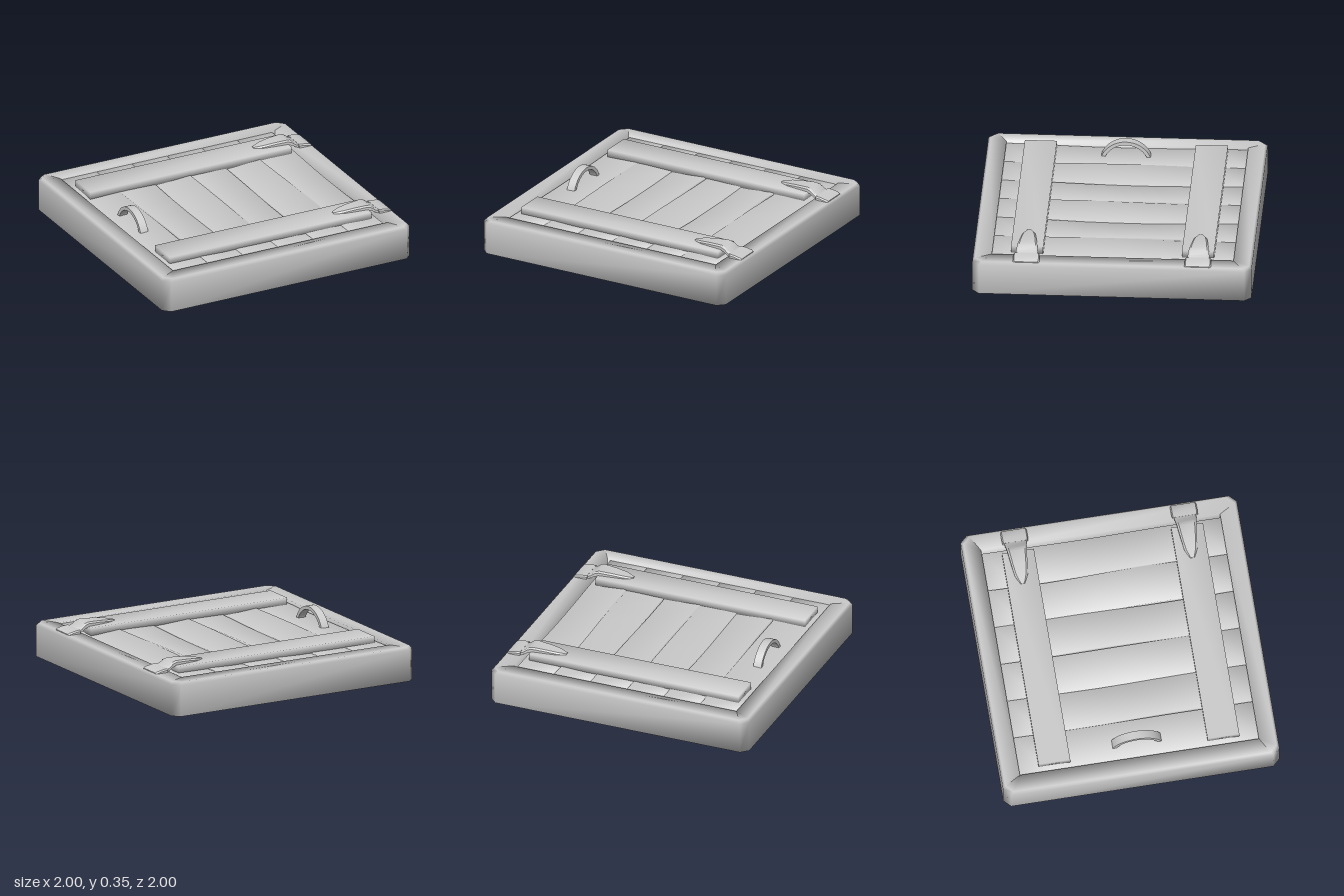
import * as THREE from 'three';
import { mergeVertices, toCreasedNormals } from 'three/addons/utils/BufferGeometryUtils.js';

const material = new THREE.MeshStandardMaterial({ color: 0xcccccc });

function addMesh(parent, name, geometry) {
  const mesh = new THREE.Mesh(geometry, material);
  mesh.name = name;
  parent.add(mesh);
  return mesh;
}

// Skin a list of equal-length rings; either cap the ends or join last to first.
function loft(rings, looped) {
  const n = rings[0].length, index = [];
  const last = looped ? rings.length : rings.length - 1;
  for (let i = 0; i < last; i++) {
    const k = (i + 1) % rings.length;
    for (let j = 0; j < n; j++) {
      const a = i * n + j, b = i * n + (j + 1) % n;
      const c = k * n + (j + 1) % n, d = k * n + j;
      index.push(a, b, c, a, c, d);
    }
  }
  if (!looped) {
    const e = (rings.length - 1) * n;
    for (let j = 1; j < n - 1; j++) index.push(0, j + 1, j, e, e + j, e + j + 1);
  }
  const g = new THREE.BufferGeometry();
  g.setAttribute('position', new THREE.Float32BufferAttribute(rings.flat(2), 3));
  g.setIndex(index);
  g.computeVertexNormals();
  return g;
}

// Box with shared corners, so it is shaded softly across its edges.
function softBox(w, h, d, sz) {
  const g = new THREE.BoxGeometry(w, h, d, 1, 1, sz);
  g.deleteAttribute('uv');
  g.deleteAttribute('normal');
  const merged = mergeVertices(g);
  merged.computeVertexNormals();
  return merged;
}

// Plank that rolls and bows between its flat ends.
function warpedPlank(roll, bow, phase) {
  const g = softBox(0.279, 0.085, 1.74, 8);
  const p = g.attributes.position;
  for (let i = 0; i < p.count; i++) {
    const x = p.getX(i), y = p.getY(i), t = p.getZ(i) / 0.87, fade = 1 - t * t;
    const a = roll * fade * Math.cos(t * 1.6 + phase);
    p.setX(i, x * Math.cos(a) - y * Math.sin(a) + bow * fade * Math.sin(t * 3 + phase));
    p.setY(i, x * Math.sin(a) + y * Math.cos(a) - 0.006 * fade);
  }
  g.computeVertexNormals();
  return g;
}

// Square ring with cut corners: half size o, height y, corner cut c.
function squareRing(o, y, c) {
  const k = o - c;
  return [[-k, o], [k, o], [o, k], [o, -k], [k, -o], [-k, -o], [-o, -k], [-o, k]]
    .map(([x, z]) => [x, y, z]);
}

// Metal bar along x with bevelled top edges: stations of [x, bottom, top, half width, bevel].
function metalBar(stations) {
  const rings = stations.map(([x, b, t, w, bevel]) => [
    [x, b, w], [x, b, -w], [x, t - 0.01, -w],
    [x, t, bevel - w], [x, t, w - bevel], [x, t - 0.01, w],
  ]);
  return toCreasedNormals(loft(rings, false), 0.6);
}

export function createModel() {
  const model = new THREE.Group();
  model.name = 'hatch';

  // Hollow square frame with a small bevel round the top
  addMesh(model, 'frame', loft([
    squareRing(1, 0, 0.05), squareRing(1, 0.23, 0.05), squareRing(0.982, 0.25, 0.05),
    squareRing(0.865, 0.25, 0), squareRing(0.865, 0, 0),
  ], true));

  // Six warped planks: [roll, sideways bow, phase]
  const planks = new THREE.Group();
  planks.name = 'planks';
  model.add(planks);
  [
    [0.05, 0.003, 0.3], [-0.11, 0.006, -0.5], [0.1, 0.002, 0.6],
    [-0.09, -0.005, -0.4], [0.12, 0.01, 0.5], [-0.11, 0.005, -0.6],
  ].forEach((warp, i) => {
    addMesh(planks, 'plank', warpedPlank(...warp)).position.set(-0.715 + i * 0.2835, 0.197, 0);
  });

  for (const side of [-1, 1]) {
    // Cross beam over the planks
    addMesh(model, 'crossBeam', softBox(1.625, 0.06, 0.23, 1))
      .position.set(-0.0075, 0.257, side * 0.612 + 0.004);

    const hinge = new THREE.Group();
    hinge.name = 'hinge';
    hinge.position.z = side * 0.614;
    model.add(hinge);

    // Pointed strap, arching down from the beam to the frame
    addMesh(hinge, 'hingeStrap', metalBar([
      [0.555, 0.28, 0.293, 0.018, 0.006], [0.62, 0.28, 0.304, 0.047, 0.012],
      [0.7, 0.282, 0.312, 0.058, 0.012], [0.8, 0.284, 0.317, 0.07, 0.014],
      [0.83, 0.275, 0.308, 0.074, 0.014], [0.86, 0.258, 0.286, 0.078, 0.014],
      [0.89, 0.245, 0.272, 0.08, 0.012],
    ]));

    // Plate fixed to the frame
    addMesh(hinge, 'hingePlate', metalBar([
      [0.882, 0.225, 0.277, 0.093, 0.008], [0.92, 0.225, 0.274, 0.095, 0.008],
      [0.97, 0.225, 0.264, 0.095, 0.008], [0.982, 0.225, 0.256, 0.09, 0.008],
    ]));
  }

  // Arched pull handle
  const arch = new THREE.Shape();
  arch.absarc(0, 0, 0.19, 0.2, Math.PI - 0.2, false);
  arch.absarc(0, 0, 0.164, Math.PI - 0.2, 0.2, true);
  const handle = new THREE.ExtrudeGeometry(arch, { depth: 0.062, bevelEnabled: false, curveSegments: 10 });
  handle.translate(0, 0, -0.031).rotateY(Math.PI / 2);
  addMesh(model, 'handle', toCreasedNormals(handle, 0.6)).position.set(-0.735, 0.164, 0);

  return model;
}
